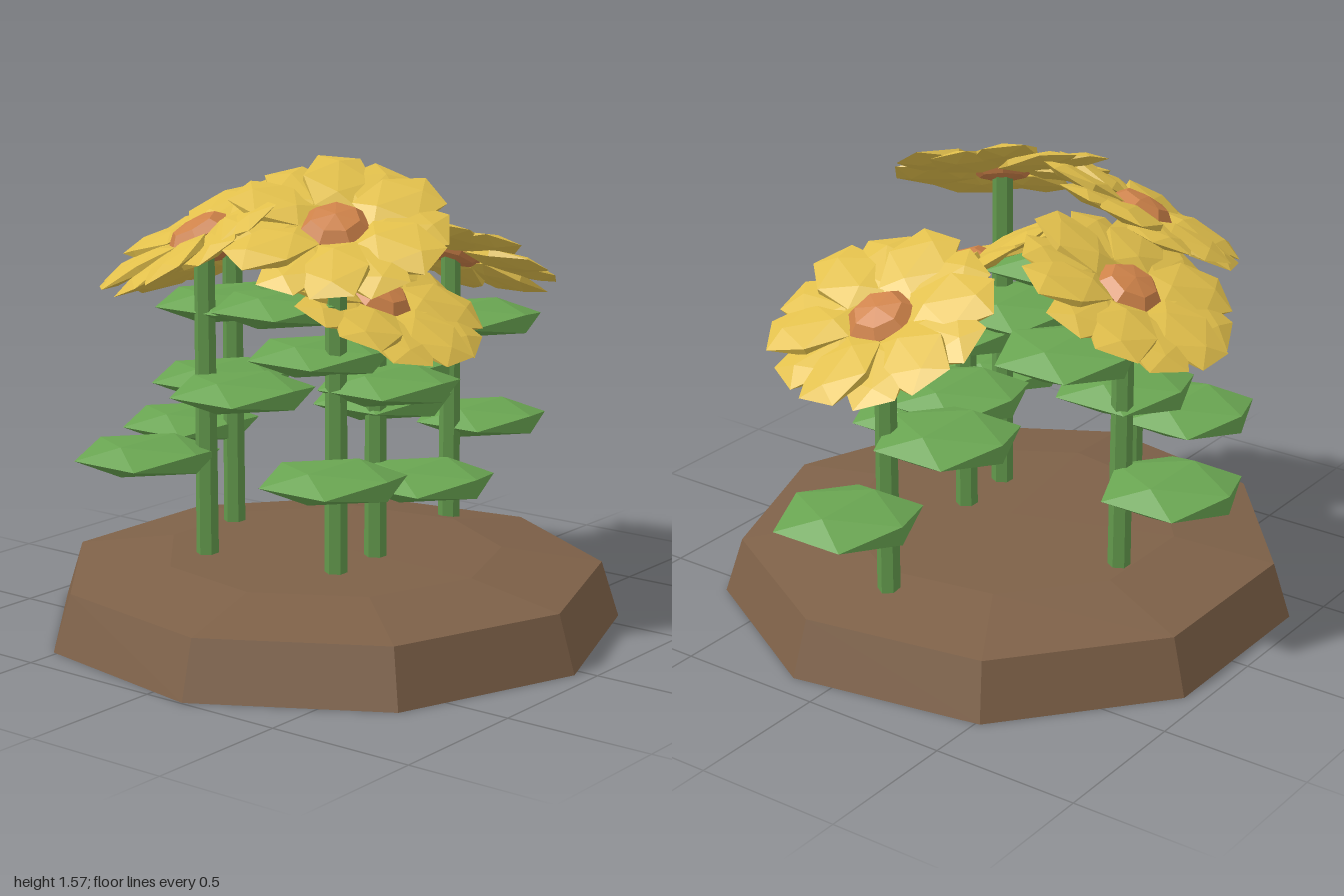
import * as THREE from 'three';

const material = (name, color) => {
  const m = new THREE.MeshStandardMaterial({ color, flatShading: true });
  m.name = name;
  return m;
};

export function createModel() {
  const soil = material('soil brown', 0x7e6148);
  const stemGreen = material('stem green', 0x62984c);
  const leafGreen = material('leaf green', 0x69a451);
  const yellow = material('petal yellow', 0xe1bf4b);
  const orange = material('flower centre orange', 0xce8249);

  const model = new THREE.Group();
  model.name = 'flowerPatch';

  const add = (parent, name, geometry, mat, x = 0, y = 0, z = 0) => {
    const mesh = new THREE.Mesh(geometry, mat);
    mesh.name = name;
    mesh.position.set(x, y, z);
    parent.add(mesh);
    return mesh;
  };

  // Nine-sided mound of earth
  const profile = [[0, 0], [0.97, 0], [0.91, 0.19], [0.57, 0.245], [0, 0.255]]
    .map(([r, y]) => new THREE.Vector2(r, y));
  add(model, 'soilMound', new THREE.LatheGeometry(profile, 9, Math.PI / 2), soil, -0.03, 0, 0.04);

  // Faceted lens with given half sizes; flat ends point along x
  const lens = (hx, hy, hz) =>
    new THREE.IcosahedronGeometry(1, 0).scale(hx / 0.851, hy / 0.851, hz / 0.851);

  const leafShape = lens(0.212, 0.05, 0.212).rotateY(Math.PI / 2);
  const petalShape = lens(0.135, 0.022, 0.112);
  const centreShape = new THREE.SphereGeometry(0.112, 7, 4).scale(1, 0.4, 1);

  // Flower head: overlapping petals around a domed centre, tilted outward
  const makeHead = (azimuth) => {
    const head = new THREE.Group();
    head.name = 'flowerHead';
    const count = 12;
    for (let i = 0; i < count; i++) {
      const a = (i / count) * Math.PI * 2;
      const r = i % 2 ? 0.222 : 0.23;
      const petal = add(head, 'petal', petalShape, yellow,
        Math.cos(a) * r, i % 2 ? -0.008 : 0.008, Math.sin(a) * r);
      petal.rotation.set(0.1, -a, 0, 'YXZ');
    }
    add(head, 'flowerCentre', centreShape, orange, 0, 0.008, 0);
    head.rotation.set(0, -azimuth, -0.5, 'YXZ');
    return head;
  };

  // Each flower: stem x, stem z, head height, facing in degrees, lowest leaf height, leaf spacing
  const flowers = [
    [-0.525, -0.04, 1.21, 180, 0.57, 0.225],
    [-0.325, 0.335, 1.32, 131, 0.59, 0.235],
    [0, -0.59, 1.17, -90, 0.555, 0.212],
    [0.16, 0.26, 1.38, 54, 0.6, 0.25],
    [0.145, 0.03, 1.115, 0, 0.54, 0.2],
  ];

  for (const [x, z, height, degrees, leafY, leafStep] of flowers) {
    const flower = new THREE.Group();
    flower.name = 'flower';
    flower.position.set(x, 0, z);
    model.add(flower);

    const azimuth = THREE.MathUtils.degToRad(degrees);
    const length = height - 0.2;
    add(flower, 'stem', new THREE.CylinderGeometry(0.034, 0.038, length, 6), stemGreen,
      0, 0.2 + length / 2, 0);

    // Three leaves spiralling up the stem
    for (let i = 0; i < 3; i++) {
      const a = azimuth - i * Math.PI * 2 / 3;
      add(flower, 'leaf', leafShape, leafGreen,
        Math.cos(a) * 0.195, leafY + i * leafStep, Math.sin(a) * 0.195);
    }

    const head = makeHead(azimuth);
    head.position.set(Math.cos(azimuth) * 0.015, height, Math.sin(azimuth) * 0.015);
    flower.add(head);
  }

  return model;
}
